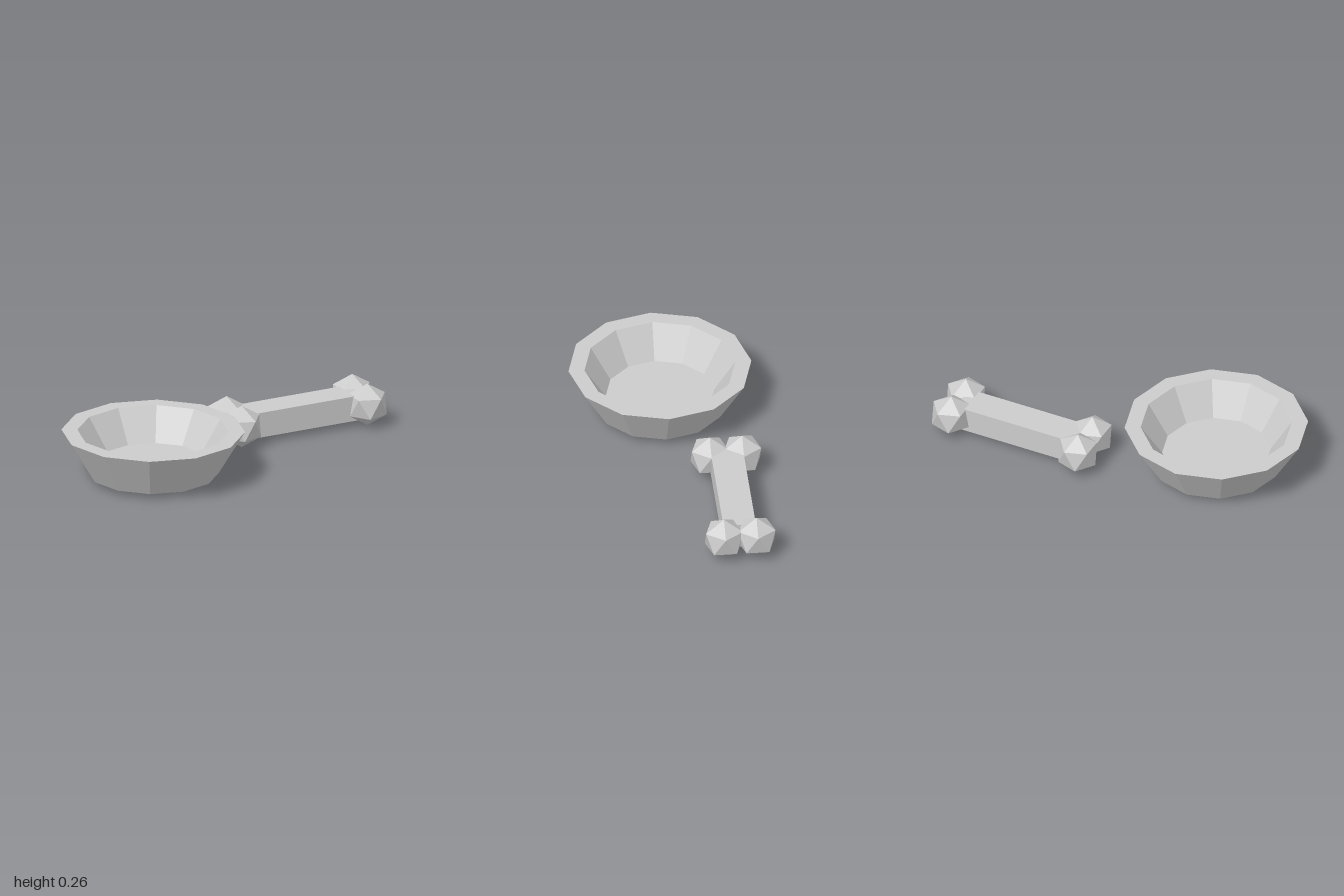
import * as THREE from 'three';

export function createModel() {
  const model = new THREE.Group();
  model.name = 'bowlAndBone';
  const grey = new THREE.MeshStandardMaterial({ color: 0xcccccc, flatShading: true });
  grey.name = 'lightGrey';

  const add = (name, geometry, parent, x, y, z) => {
    const mesh = new THREE.Mesh(geometry, grey);
    mesh.name = name;
    mesh.position.set(x, y, z);
    parent.add(mesh);
  };

  // Twelve-sided bowl: underside, sloping wall, flat rim, inner wall, floor
  const profile = [
    [0, 0.03], [0.352, 0.03], [0.4935, 0.265], [0.407, 0.265], [0.292, 0.09], [0, 0.09],
  ].map(([r, y]) => new THREE.Vector2(r, y));
  add('bowl', new THREE.LatheGeometry(profile, 12), model, -0.507, 0, 0);

  // Bone: a square bar with two faceted knobs at each end
  const bone = new THREE.Group();
  bone.name = 'bone';
  bone.position.set(0.515, 0, -0.291);
  model.add(bone);
  add('boneShaft', new THREE.BoxGeometry(0.71, 0.14, 0.175), bone, 0, 0.105, 0);

  // Stand the icosahedron on a corner, keeping it symmetric front to back
  const knob = new THREE.IcosahedronGeometry(0.1175, 0);
  knob.rotateZ(-Math.atan(2 / (1 + Math.sqrt(5))));
  for (const sx of [-1, 1]) {
    for (const sz of [-1, 1]) {
      add(`${sx < 0 ? 'right' : 'left'}${sz < 0 ? 'Back' : 'Front'}Knob`, knob, bone, sx * 0.38, 0.1175, sz * 0.0875);
    }
  }
  return model;
}
